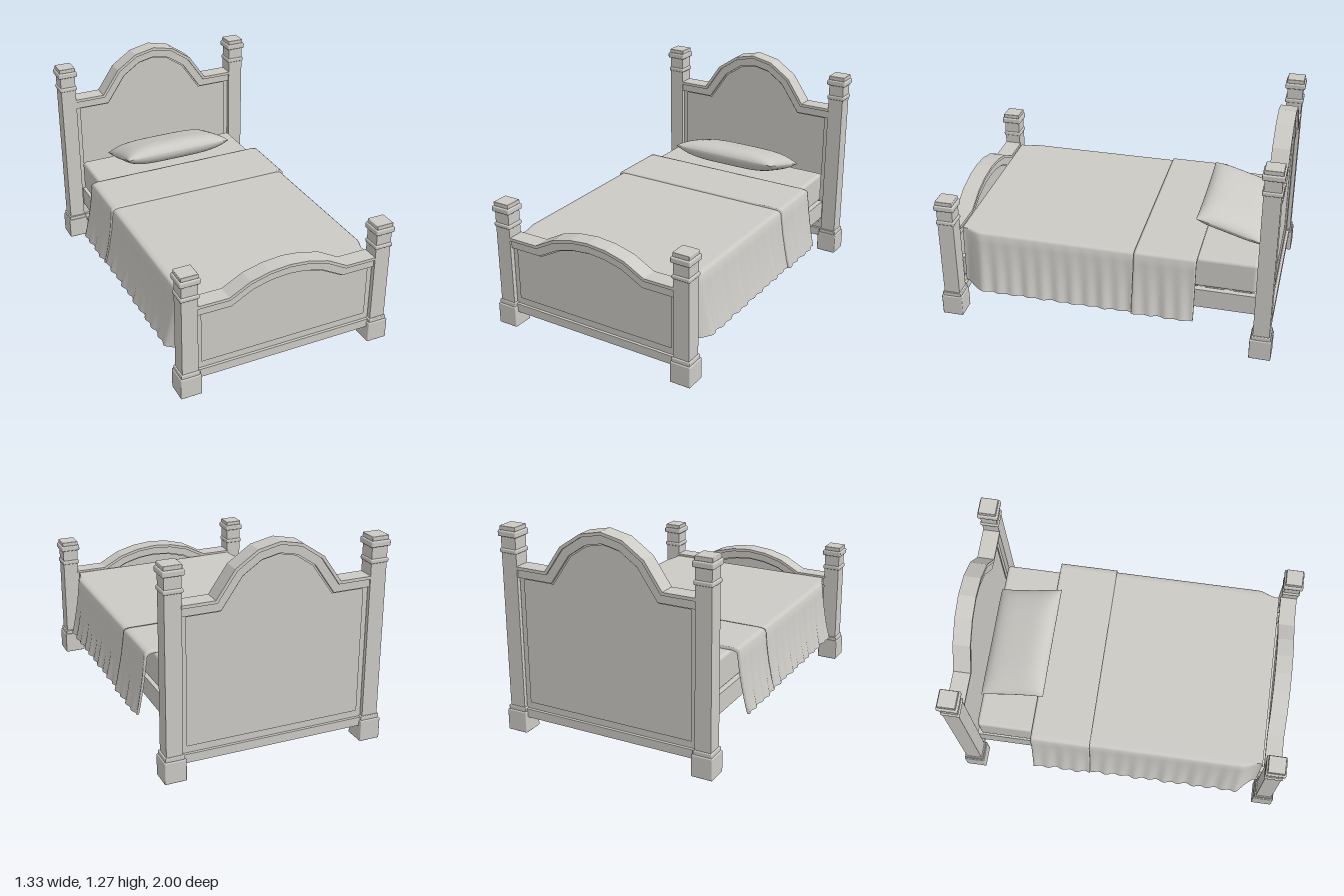
import * as THREE from 'three';
import { RoundedBoxGeometry } from 'three/addons/geometries/RoundedBoxGeometry.js';

const plain = new THREE.MeshStandardMaterial({ color: 0xcccac5, side: THREE.DoubleSide });
plain.name = 'warmGrey';

function add(parent, name, geometry, x = 0, y = 0, z = 0) {
  const mesh = new THREE.Mesh(geometry, plain);
  mesh.name = name;
  mesh.position.set(x, y, z);
  parent.add(mesh);
  return mesh;
}

// Square block between two heights, with softly rounded edges
function block(parent, name, width, y0, y1, radius) {
  const g = radius ? new RoundedBoxGeometry(width, y1 - y0, width, 2, radius)
    : new THREE.BoxGeometry(width, y1 - y0, width);
  add(parent, name, g, 0, (y0 + y1) / 2, 0);
}

// Square post with foot, collars and cap
function post(name, x, z, top) {
  const g = new THREE.Group();
  g.name = name;
  g.position.set(x, 0, z);
  block(g, 'foot', 0.127, 0, 0.13, 0.006);
  block(g, 'footCollar', 0.114, 0.128, 0.154, 0.005);
  block(g, 'shaft', 0.096, 0.15, top - 0.06);
  block(g, 'upperCollar', 0.122, top - 0.06, top - 0.025, 0.008);
  block(g, 'cap', 0.104, top - 0.026, top, 0.004);
  block(g, 'ring', 0.112, top - 0.154, top - 0.128, 0.008);
  return g;
}

// Mirror half an arch and extend it flat to the posts
function archLine(half) {
  const right = [...half, [0.555, half[half.length - 1][1]]].map(p => new THREE.Vector2(...p));
  const left = right.slice(1).reverse().map(p => new THREE.Vector2(-p.x, p.y));
  return [...left, ...right];
}

// Line moved down by d along its mitred normals
function lowered(line, d) {
  const normal = (a, b) => new THREE.Vector2(b.y - a.y, a.x - b.x).normalize();
  return line.map((p, i) => {
    const a = normal(line[Math.max(i - 1, 0)], line[Math.max(i, 1)]);
    const b = normal(line[Math.min(i, line.length - 2)], line[Math.min(i + 1, line.length - 1)]);
    const m = a.clone().add(b).normalize();
    return p.clone().addScaledVector(m, d / m.dot(a));
  });
}

// Area below a line, cut to a half width and a bottom height
function below(line, halfWidth, bottom) {
  const top = line.map(p => new THREE.Vector2(THREE.MathUtils.clamp(p.x, -halfWidth, halfWidth), p.y));
  return [new THREE.Vector2(halfWidth, bottom), new THREE.Vector2(-halfWidth, bottom), ...top];
}

function slab(shape, depth, bevel) {
  const g = new THREE.ExtrudeGeometry(shape, bevel
    ? { depth, bevelEnabled: true, bevelThickness: 0.015, bevelSize: 0.02, bevelSegments: 1 }
    : { depth, bevelEnabled: false });
  return g.translate(0, 0, -depth / 2);
}

// Arched board: two-step top rail, recessed panel in a bevelled frame, bottom rail
function board(name, z, half) {
  const g = new THREE.Group();
  g.name = name;
  g.position.z = z;
  const line = archLine(half);
  const strip = (d0, d1) => new THREE.Shape([...lowered(line, d0), ...lowered(line, d1).reverse()]);
  add(g, 'railCap', slab(strip(0, 0.018), 0.102));
  add(g, 'railMoulding', slab(strip(0.018, 0.065), 0.08));
  const body = lowered(line, 0.045);
  const frame = new THREE.Shape(below(body, 0.55, 0.12));
  frame.holes.push(new THREE.Path(below(lowered(line, 0.075), 0.52, 0.188)));
  add(g, 'frame', slab(frame, 0.02, true));
  add(g, 'panel', slab(new THREE.Shape(below(body, 0.55, 0.12)), 0.02));
  add(g, 'bottomRail', new THREE.BoxGeometry(1.11, 0.052, 0.084), 0, 0.121, 0);
  return g;
}

// Smooth grid surface from a rule p(i, j) -> [x, y, z]
function grid(nu, nv, rule) {
  const pos = [], index = [];
  for (let i = 0; i <= nu; i++) {
    for (let j = 0; j <= nv; j++) {
      pos.push(...rule(i, j));
      if (i < nu && j < nv) {
        const a = i * (nv + 1) + j, b = a + nv + 1;
        index.push(a, a + 1, b, b, a + 1, b + 1);
      }
    }
  }
  const g = new THREE.BufferGeometry();
  g.setAttribute('position', new THREE.Float32BufferAttribute(pos, 3));
  g.setIndex(index);
  g.computeVertexNormals();
  return g;
}

// Half cross-section of the cover, from the middle out and down to the hem
const drape = [[0, 0.566], [0.3, 0.566], [0.55, 0.566], [0.575, 0.562], [0.588, 0.55],
  [0.594, 0.5], [0.604, 0.42], [0.618, 0.34], [0.634, 0.26], [0.65, 0.197]];

// Cloth over the mattress with folds that deepen towards the hem
function cover(z0, z1, grow) {
  const rows = Math.round((z1 - z0) / 0.012), n = drape.length - 1;
  return grid(rows + 2, 2 * n, (i, j) => {
    const end = i === 0 || i === rows + 2;
    const z = z0 + (z1 - z0) * THREE.MathUtils.clamp((i - 1) / rows, 0, 1);
    const side = j < n ? -1 : 1;
    let [x, y] = drape[Math.abs(j - n)];
    const drop = THREE.MathUtils.clamp((0.55 - y) / 0.35, 0, 1);
    const out = end ? -0.006 : grow;
    x += drop * (0.006 * Math.sin(z * 68 + side + 1.5 * drop) + 0.003 * Math.sin(z * 31 + 2 * side));
    if (x > 0.5) x += out;
    if (y > 0.5) y += out;
    // Draw the cloth in beside the foot posts
    const tuck = THREE.MathUtils.smoothstep(z, 0.74, 0.87);
    if (x > 0.548) x = THREE.MathUtils.lerp(x, 0.548 + 0.01 * drop, tuck);
    return [side * x, y, z];
  });
}

// Pillow: two bulged sheets meeting at a pinched seam
function pillowHalf(sign) {
  const n = 28;
  return grid(n, n, (i, j) => {
    const u = Math.sin((i / n - 0.5) * Math.PI), v = Math.sin((j / n - 0.5) * Math.PI) * sign;
    const bulge = Math.pow((1 - u ** 4) * (1 - v ** 4), 0.55);
    const x = 0.355 * u * (1 - 0.02 * (1 - v * v));
    return [x, sign * 0.068 * bulge, 0.205 * v * (1 - 0.02 * (1 - u * u))];
  });
}

export function createModel() {
  const bed = new THREE.Group();
  bed.name = 'bed';

  for (const [side, x] of [['left', 0.599], ['right', -0.599]]) {
    bed.add(post(side + 'HeadPost', x, -0.936, 1.228));
    bed.add(post(side + 'FootPost', x, 0.936, 0.783));
    add(bed, side + 'SideRail', new THREE.BoxGeometry(0.04, 0.12, 1.81), Math.sign(x) * 0.522, 0.285, 0);
  }

  bed.add(board('headboard', -0.936, [[0, 1.275], [0.13, 1.247], [0.258, 1.16], [0.365, 1.005]]));
  bed.add(board('footboard', 0.932, [[0, 0.685], [0.12, 0.674], [0.24, 0.642], [0.365, 0.575]]));

  // Slats across the base
  for (let i = 0; i < 11; i++) {
    add(bed, 'slat', new THREE.BoxGeometry(1.02, 0.03, 0.11), 0, 0.338, -0.8 + i * 0.16);
  }

  add(bed, 'mattress', new RoundedBoxGeometry(1.08, 0.193, 1.75, 3, 0.02), 0, 0.461, -0.006);
  add(bed, 'blanket', cover(-0.53, 0.872, 0));
  add(bed, 'foldedSheet', cover(-0.54, -0.178, 0.009));

  const pillow = new THREE.Group();
  pillow.name = 'pillow';
  pillow.position.set(0, 0.642, -0.688);
  pillow.rotation.x = -0.29;
  add(pillow, 'pillowTop', pillowHalf(1));
  add(pillow, 'pillowUnderside', pillowHalf(-1));
  bed.add(pillow);

  return bed;
}
